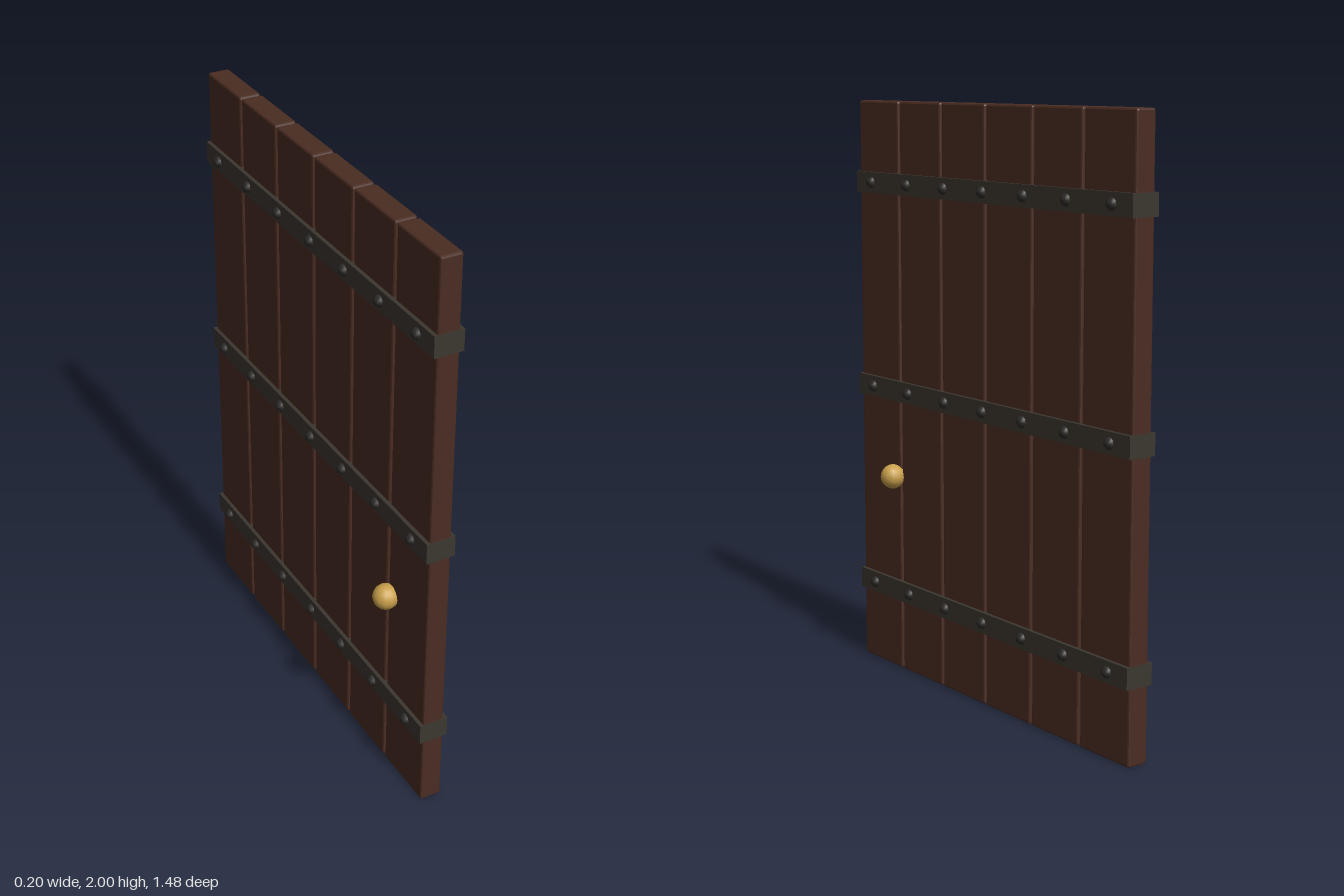
import * as THREE from 'three';
import { RoundedBoxGeometry } from 'three/addons/geometries/RoundedBoxGeometry.js';

const material = (name, color) => {
  const m = new THREE.MeshStandardMaterial({ color });
  m.name = name;
  return m;
};

export function createModel() {
  const door = new THREE.Group();
  door.name = 'plankDoor';
  const wood = material('darkWood', 0x4a2c22);
  const iron = material('darkIron', 0x3b362f);
  const rivetIron = material('rivetIron', 0x2c2a28);
  const brass = material('brass', 0xc9a04c);

  const add = (name, geometry, mat, x, y, z) => {
    const mesh = new THREE.Mesh(geometry, mat);
    mesh.name = name;
    mesh.position.set(x, y, z);
    door.add(mesh);
    return mesh;
  };

  // Six upright planks with chamfered edges and narrow gaps
  const plankGeo = new RoundedBoxGeometry(0.074, 2, 0.238, 1, 0.007);
  plankGeo.computeVertexNormals();
  for (let i = 0; i < 6; i++) add('plank', plankGeo, wood, 0, 1, (i - 2.5) * 0.2475);

  // Iron bands around the door, riveted on both faces
  const bandGeo = new THREE.BoxGeometry(0.1, 0.072, 1.48);
  const rivetGeo = new THREE.LatheGeometry(
    [[0.02, 0], [0.02, 0.005], [0.012, 0.016], [0, 0.018]].map(p => new THREE.Vector2(...p)), 10);
  for (const y of [0.288, 1.004, 1.72]) {
    add('ironBand', bandGeo, iron, 0, y, 0);
    for (let i = -3; i <= 3; i++) {
      for (const side of [-1, 1]) {
        const rivet = add('rivet', rivetGeo, rivetIron, side * 0.049, y, i * 0.2155);
        rivet.rotation.z = -side * Math.PI / 2;
      }
    }
  }

  // Round knob on each face
  const knobGeo = new THREE.SphereGeometry(0.043, 12, 10);
  for (const side of [-1, 1]) add('knob', knobGeo, brass, side * 0.058, 0.7, 0.518);

  return door;
}
